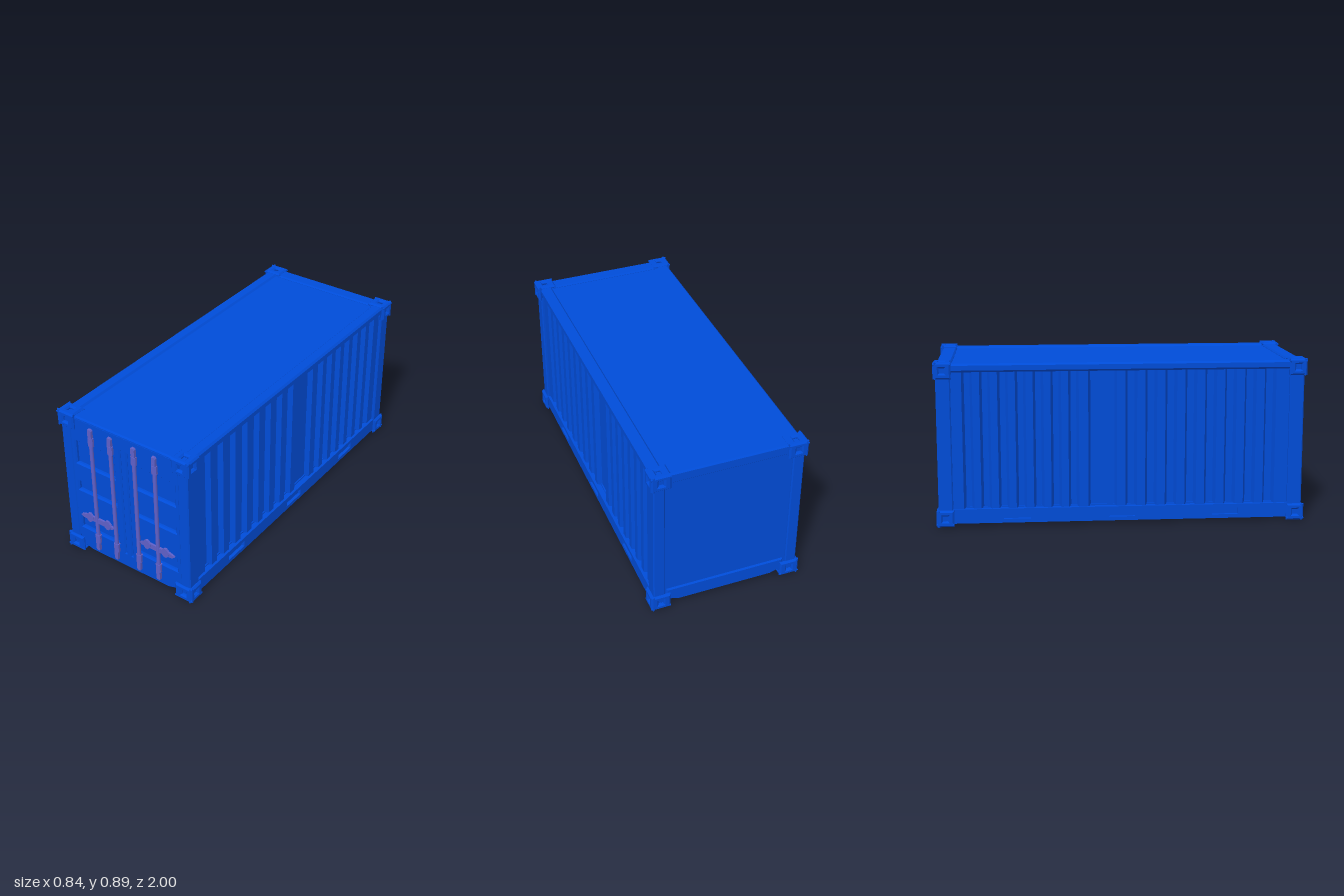
import * as THREE from 'three';

const blue = new THREE.MeshStandardMaterial({ color: 0x004cd8 });
blue.name = 'container blue';
const violet = new THREE.MeshStandardMaterial({ color: 0x6060c8 });
violet.name = 'lock violet';

const SIGNS = [-1, 1];

function add(parent, name, geometry, x = 0, y = 0, z = 0, material = blue) {
  const mesh = new THREE.Mesh(geometry, material);
  mesh.name = name;
  mesh.position.set(x, y, z);
  parent.add(mesh);
  return mesh;
}

const box = (w, h, d) => new THREE.BoxGeometry(w, h, d);
const polygon = (pts) => new THREE.Shape(pts.map(([x, y]) => new THREE.Vector2(x, y)));

function rect(x0, y0, x1, y1) {
  return [[x0, y0], [x1, y0], [x1, y1], [x0, y1]];
}

// Rectangle with its four corners cut off
function cutRect(w, h, c) {
  const a = w / 2, b = h / 2;
  return [[-a + c, -b], [a - c, -b], [a, -b + c], [a, b - c], [a - c, b], [-a + c, b], [-a, b - c], [-a, -b + c]];
}

// Extrusion centred on z = 0
function prism(pts, depth, holes = [], bevel = 0) {
  const shape = polygon(pts);
  holes.forEach((h) => shape.holes.push(polygon(h)));
  return new THREE.ExtrudeGeometry(shape, {
    depth: depth - 2 * bevel, bevelEnabled: bevel > 0, bevelThickness: bevel,
    bevelSize: bevel, bevelOffset: 0, bevelSegments: 1,
  }).translate(0, 0, -depth / 2 + bevel);
}

// Corner block: solid core with a pierced, chamfered plate on each outer side
function cornerCasting(sx, sy, sz) {
  const g = new THREE.Group();
  g.name = 'cornerCasting';
  const W = 0.108, H = 0.09, D = 0.095, t = 0.024, c = 0.009;
  add(g, 'castingCore', box(W - t, H - t, D - t), -sx * t / 2, -sy * t / 2, -sz * t / 2);
  const plate = (w, h) => prism(rect(-w / 2 + c, -h / 2 + c, w / 2 - c, h / 2 - c), t, [rect(-0.023, -0.023, 0.023, 0.023)], c);
  add(g, 'endPlate', plate(W, H), 0, 0, sz * (D - t) / 2);
  add(g, 'sidePlate', plate(D, H).rotateY(Math.PI / 2), sx * (W - t) / 2, 0, 0);
  add(g, 'capPlate', plate(W, D).rotateX(Math.PI / 2), 0, sy * (H - t) / 2, 0);
  g.position.set(sx * (0.42 - W / 2), 0.445 + sy * (0.445 - H / 2), sz * (0.997 - D / 2));
  return g;
}

// Plan outline of the body, with trapezoid grooves along both sides
function bodyOutline() {
  const grooves = [];
  for (let i = 0; i < 8; i++) grooves.push([0.835 - 0.1075 * i, 0.063]);
  grooves.push([-0.025, 0.155]);
  for (let i = 0; i < 7; i++) grooves.push([-0.23 - 0.094 * i, 0.056]);
  const out = 0.388, inn = 0.362, slope = 0.013;
  const side = [[out, 0.962]];
  grooves.forEach(([z, w]) => side.push([out, z], [inn, z - slope], [inn, z - w + slope], [out, z - w]));
  side.push([out, -0.962]);
  return [...side, ...side.map(([x, z]) => [-x, z]).reverse()];
}

// Locking rod with cams, brackets and round bar
function lockRod(x) {
  const g = new THREE.Group();
  g.name = 'lockRod';
  add(g, 'rod', new THREE.CylinderGeometry(0.011, 0.011, 0.72, 12), 0, 0.452, 0.988, violet);
  for (const s of SIGNS) {
    const y = (v) => 0.452 + s * v;
    const bracket = prism(cutRect(0.032, 0.044, 0.006), 0.05).rotateX(Math.PI / 2);
    add(g, 'rodBracket', bracket, 0, y(0.315), 0.978, violet);
    const cam = prism([[-0.012, -0.03], [0.012, -0.03], [0.012, 0.022], [0.006, 0.03], [-0.01, 0.03]], 0.026);
    if (s < 0) cam.rotateZ(Math.PI);
    add(g, 'rodCam', cam, 0, y(0.362), 0.985, violet);
  }
  g.position.x = x;
  return g;
}

// Flat door handle with two hubs
function handle(s) {
  const g = new THREE.Group();
  g.name = 'doorHandle';
  const pts = [[0.087, 0.255], [0.10, 0.244], [0.295, 0.244], [0.312, 0.256], [0.305, 0.264],
    [0.27, 0.274], [0.16, 0.275], [0.11, 0.268]].map(([x, y]) => [x * s, y]);
  add(g, 'handleBar', prism(pts, 0.016), 0, 0, 0.985, violet);
  for (const x of [0.133, 0.253]) {
    add(g, 'handleHub', prism(cutRect(0.05, 0.056, 0.018), 0.022), x * s, 0.259, 0.983, violet);
  }
  return g;
}

export function createModel() {
  const model = new THREE.Group();
  model.name = 'shippingContainer';

  // Corrugated body, roof and floor
  add(model, 'corrugatedBody', prism(bodyOutline(), 0.75).rotateX(Math.PI / 2), 0, 0.46, 0);
  add(model, 'roofPanel', box(0.70, 0.04, 1.84), 0, 0.85, 0);
  add(model, 'floor', box(0.74, 0.06, 1.86), 0, 0.07, 0);

  // Frame: posts, rails with lifting slots, and castings
  for (const sx of SIGNS) {
    add(model, 'topRail', prism(cutRect(0.068, 0.046, 0.01), 1.84), sx * 0.37, 0.857, 0);
    const slots = [0.565, 0, -0.565].map((z) => rect(z - 0.072, -0.018, z + 0.072, 0.018));
    add(model, 'bottomRail', prism(rect(-0.92, -0.039, 0.92, 0.039), 0.04, slots).rotateY(Math.PI / 2), sx * 0.382, 0.054, 0);
    add(model, 'slotBacking', box(0.02, 0.05, 1.4), sx * 0.374, 0.054, 0);
    for (const sz of SIGNS) {
      add(model, 'cornerPost', prism(cutRect(0.062, 0.078, 0.006), 0.74).rotateX(Math.PI / 2), sx * 0.374, 0.445, sz * 0.946);
      for (const sy of SIGNS) model.add(cornerCasting(sx, sy, sz));
    }
  }

  // End beams and back wall
  const sill = [[-0.325, 0.105], [-0.325, 0.05], [-0.26, 0.03], [0.26, 0.03], [0.325, 0.05], [0.325, 0.105]];
  for (const sz of SIGNS) {
    add(model, 'endHeader', prism(cutRect(0.08, 0.06, 0.008), 0.69).rotateY(Math.PI / 2), 0, 0.85, sz * 0.941);
    add(model, 'endSill', prism(sill, 0.06, [], 0.014), 0, 0, sz * 0.951);
  }
  add(model, 'backWall', box(0.69, 0.74, 0.03), 0, 0.46, -0.958);

  // Door face with recessed bands and seal grooves
  const bands = [[0.579, 0.731], [0.406, 0.474], [0.156, 0.252]];
  const holes = [];
  for (const s of SIGNS) {
    const span = (a, b, y0, y1) => rect(Math.min(a * s, b * s), y0, Math.max(a * s, b * s), y1);
    bands.forEach(([y0, y1]) => holes.push(span(0.058, 0.328, y0, y1)));
    holes.push(span(0.013, 0.03, 0.11, 0.79));
    model.add(handle(s));
  }
  add(model, 'doors', prism(rect(-0.342, 0.1, 0.342, 0.866), 0.03, holes, 0.008), 0, 0, 0.967);
  for (const x of [-0.205, -0.077, 0.075, 0.205]) model.add(lockRod(x));

  return model;
}
